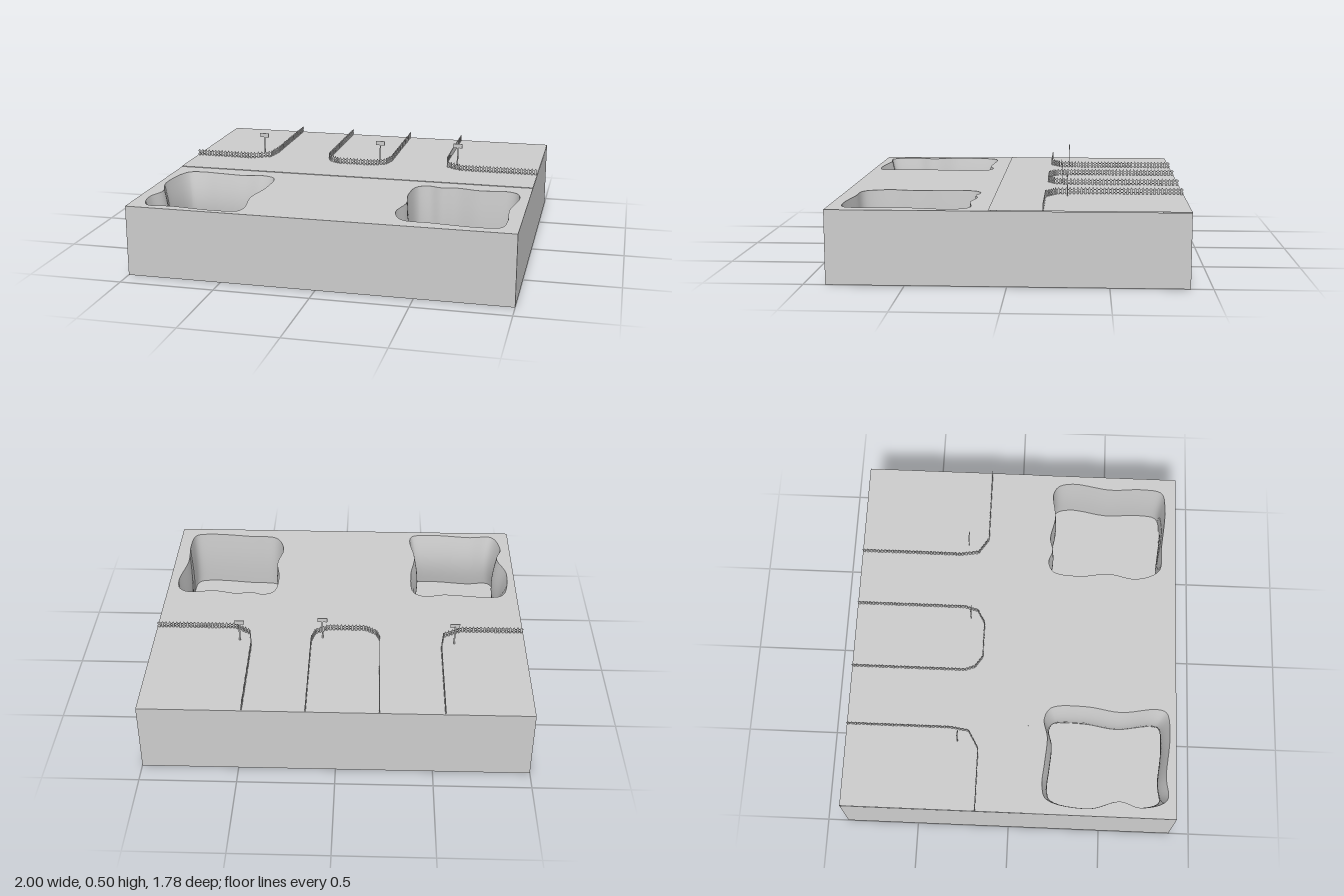
import * as THREE from 'three';
import { mergeGeometries } from 'three/addons/utils/BufferGeometryUtils.js';

const GROUND = 0.373, TERRACE = 0.376, STEP_Z = 0.09, HALF_X = 1, HALF_Z = 0.89;
const FLOOR = 0.035;
const mat = new THREE.MeshStandardMaterial({ color: 0xcccccc, side: THREE.DoubleSide });

function add(parent, name, geometry) {
  const mesh = new THREE.Mesh(geometry, mat);
  mesh.name = name;
  parent.add(mesh);
  return mesh;
}

// Smooth closed outline through a few [x, z] points
function outline(points, n = 96) {
  const curve = new THREE.CatmullRomCurve3(points.map(([x, z]) => new THREE.Vector3(x, 0, z)), true);
  return curve.getPoints(n).slice(0, n);
}

// Flat horizontal sheet from [x, z] outline with optional holes
function sheet(ring, y, holes = []) {
  const flat = (r) => r.map((p) => new THREE.Vector2(p.x, -p.z));
  const shape = new THREE.Shape(flat(ring));
  shape.holes = holes.map((h) => new THREE.Path(flat(h)));
  return new THREE.ShapeGeometry(shape).rotateX(-Math.PI / 2).translate(0, y, 0);
}

const rect = (z0, z1) => [[-HALF_X, z1], [HALF_X, z1], [HALF_X, z0], [-HALF_X, z0]]
  .map(([x, z]) => new THREE.Vector3(x, 0, z));

function scaledRing(ring, s) {
  const c = new THREE.Box3().setFromPoints(ring).getCenter(new THREE.Vector3());
  return ring.map((p) => p.clone().sub(c).multiplyScalar(s).add(c));
}

// Pit wall lofted through scaled copies of the rim
function pitWall(ring, waist) {
  const steps = 8, n = ring.length, pos = [], idx = [];
  for (let j = 0; j <= steps; j++) {
    const t = j / steps;
    const s = 1 - (1 - waist) * Math.sin(Math.PI * t);
    const y = THREE.MathUtils.lerp(GROUND, FLOOR, t);
    scaledRing(ring, s).forEach((p) => pos.push(p.x, y, p.z));
  }
  for (let j = 0; j < steps; j++) {
    for (let i = 0; i < n; i++) {
      const a = j * n + i, b = j * n + (i + 1) % n;
      idx.push(a, b, a + n, b, b + n, a + n);
    }
  }
  const g = new THREE.BufferGeometry();
  g.setAttribute('position', new THREE.Float32BufferAttribute(pos, 3));
  g.setIndex(idx);
  g.computeVertexNormals();
  return g;
}

// Pointed fence picket, facing +z, standing on the terrace
function picket() {
  const s = new THREE.Shape([[-0.005, 0], [0.005, 0], [0.005, 0.028], [0, 0.036], [-0.005, 0.028]]
    .map(([x, y]) => new THREE.Vector2(x, y)));
  return new THREE.ExtrudeGeometry(s, { depth: 0.004, bevelEnabled: false }).translate(0, 0, -0.002);
}

// Pickets and two rails along a polyline
function fence(path) {
  const parts = [];
  for (let i = 0; i < path.length - 1; i++) {
    const [x0, z0] = path[i], [x1, z1] = path[i + 1];
    const len = Math.hypot(x1 - x0, z1 - z0), turn = -Math.atan2(z1 - z0, x1 - x0);
    const count = Math.max(1, Math.round(len / 0.02));
    for (let k = 0; k < count; k++) {
      const t = (k + 0.5) / count;
      parts.push(picket().rotateY(turn)
        .translate(x0 + (x1 - x0) * t, TERRACE, z0 + (z1 - z0) * t).toNonIndexed?.() ?? null);
    }
    for (const h of [0.009, 0.024]) {
      parts.push(new THREE.BoxGeometry(len, 0.004, 0.003).rotateY(turn)
        .translate((x0 + x1) / 2, TERRACE + h, (z0 + z1) / 2).toNonIndexed());
    }
  }
  return mergeGeometries(parts);
}

export function createModel() {
  const model = new THREE.Group();
  model.name = 'enclosureGround';

  const rims = {
    right: outline([[-0.92, 0.2], [-0.85, 0.175], [-0.72, 0.185], [-0.58, 0.195], [-0.48, 0.175],
      [-0.415, 0.21], [-0.4, 0.4], [-0.425, 0.59], [-0.4, 0.79], [-0.42, 0.84], [-0.555, 0.855],
      [-0.77, 0.835], [-0.9, 0.84], [-0.945, 0.7], [-0.915, 0.59], [-0.96, 0.43]]),
    left: outline([[0.39, 0.2], [0.45, 0.17], [0.52, 0.19], [0.6, 0.175], [0.73, 0.2], [0.88, 0.185],
      [0.93, 0.215], [0.95, 0.3], [0.92, 0.51], [0.93, 0.7], [0.91, 0.81], [0.81, 0.83], [0.57, 0.81],
      [0.42, 0.795], [0.365, 0.67], [0.39, 0.51], [0.37, 0.35]]),
  };

  // Hollow base, open underneath
  const base = new THREE.Group();
  base.name = 'base';
  model.add(base);
  add(base, 'frontGround', sheet(rect(STEP_Z, HALF_Z), GROUND, Object.values(rims)));
  add(base, 'backTerrace', sheet(rect(-HALF_Z, STEP_Z), TERRACE));
  add(base, 'terraceStep', new THREE.PlaneGeometry(2, TERRACE - GROUND)
    .translate(0, (TERRACE + GROUND) / 2, STEP_Z));
  add(base, 'frontWall', new THREE.PlaneGeometry(2, GROUND).translate(0, GROUND / 2, HALF_Z));
  add(base, 'backWall', new THREE.PlaneGeometry(2, TERRACE).rotateY(Math.PI)
    .translate(0, TERRACE / 2, -HALF_Z));
  for (const side of [-1, 1]) {
    add(base, side < 0 ? 'rightWall' : 'leftWall', new THREE.PlaneGeometry(2 * HALF_Z, GROUND)
      .rotateY(side * Math.PI / 2).translate(side * HALF_X, GROUND / 2, 0));
  }

  // Sunken pits
  for (const [name, rim] of Object.entries(rims)) {
    const pit = new THREE.Group();
    pit.name = name + 'Pit';
    add(pit, 'pitWall', pitWall(rim, name === 'right' ? 0.91 : 0.975));
    add(pit, 'pitFloor', sheet(rim, FLOOR));
    model.add(pit);
  }

  // Picket fences around the three plots
  const fences = {
    rightFence: [[-1, -0.175], [-0.66, -0.175], [-0.565, -0.23], [-0.55, -0.33], [-0.55, -0.89]],
    middleFence: [[-0.22, -0.89], [-0.22, -0.27], [-0.2, -0.215], [-0.14, -0.175], [0.06, -0.175],
      [0.13, -0.215], [0.15, -0.29], [0.15, -0.89]],
    leftFence: [[0.47, -0.89], [0.47, -0.33], [0.485, -0.23], [0.57, -0.175], [1, -0.175]],
  };
  for (const [name, path] of Object.entries(fences)) add(model, name, fence(path));

  // Sign posts
  for (const [x, z] of [[-0.62, -0.285], [0.09, -0.25], [0.535, -0.285]]) {
    const sign = new THREE.Group();
    sign.name = 'sign';
    sign.position.set(x, TERRACE, z);
    add(sign, 'signPost', new THREE.BoxGeometry(0.008, 0.11, 0.003).translate(0, 0.055, -0.002));
    add(sign, 'signBoard', new THREE.BoxGeometry(0.052, 0.024, 0.004).translate(0, 0.114, 0.001));
    model.add(sign);
  }
  return model;
}
